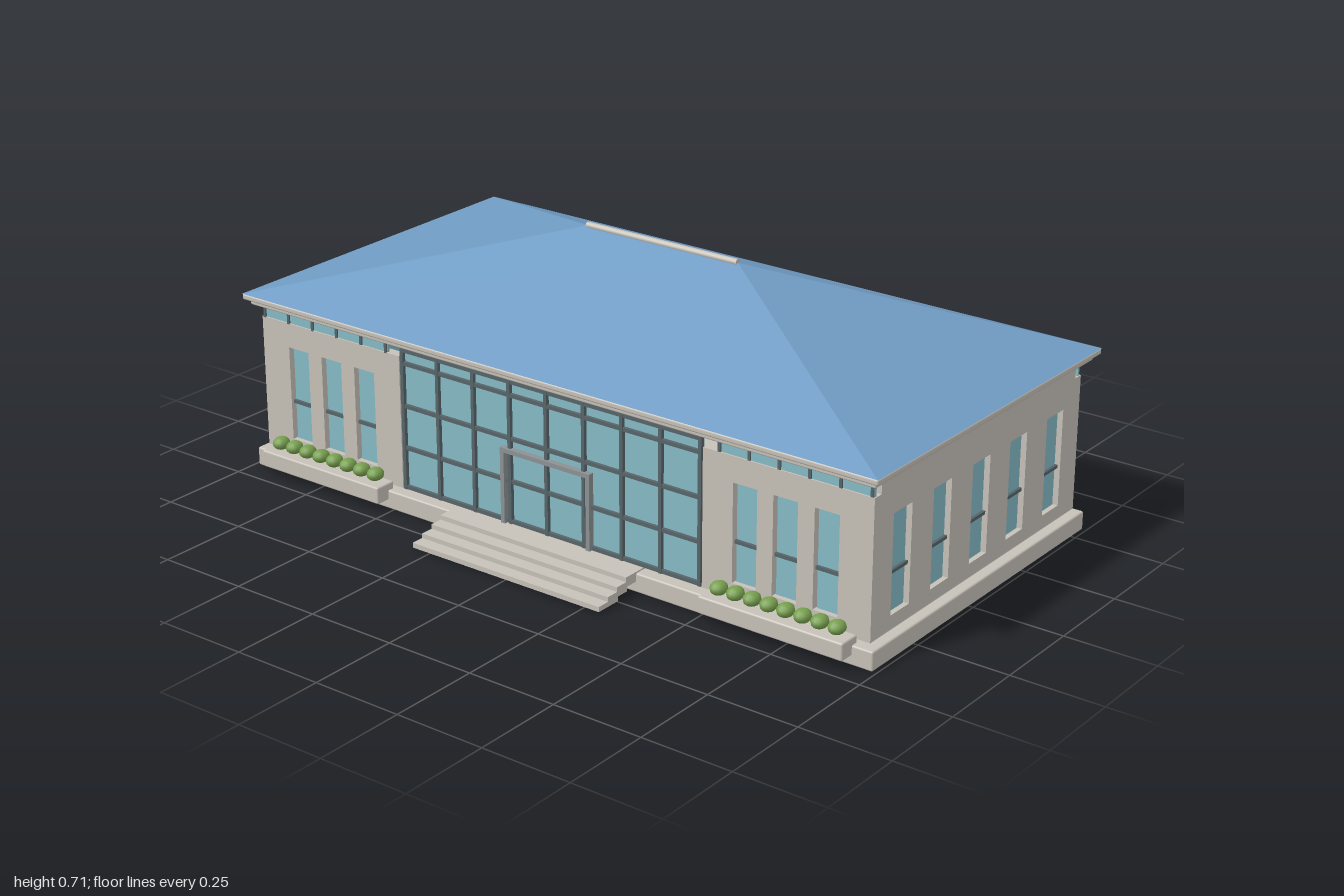
import * as THREE from 'three';
import { RoundedBoxGeometry } from 'three/addons/geometries/RoundedBoxGeometry.js';

const mat = (name, color) => {
  const m = new THREE.MeshStandardMaterial({ color });
  m.name = name;
  return m;
};

export function createModel() {
  const stone = mat('stone', 0xc6c1b8);
  const glass = mat('glass', 0x86bac6);
  const roofBlue = mat('roofBlue', 0x709cc4);
  const frame = mat('darkFrame', 0x566468);
  const doorMetal = mat('doorMetal', 0x8c9294);
  const leaf = mat('leaf', 0x77a04e);

  const model = new THREE.Group();
  model.name = 'pavilion';

  const add = (name, geometry, material, parent = model) => {
    const mesh = new THREE.Mesh(geometry, material);
    mesh.name = name;
    parent.add(mesh);
    return mesh;
  };
  // Box given by its limits on each axis
  const box = (name, material, x0, x1, y0, y1, z0, z1, parent = model, radius = 0) => {
    const size = [x1 - x0, y1 - y0, z1 - z0];
    const geo = radius ? new RoundedBoxGeometry(...size, 2, radius) : new THREE.BoxGeometry(...size);
    const mesh = add(name, geo, material, parent);
    mesh.position.set((x0 + x1) / 2, (y0 + y1) / 2, (z0 + z1) / 2);
    return mesh;
  };

  // Wall slab with window openings, glazing and optional crossbars; outer face is +z
  const T = 0.028, SILL = 0.101, HEAD = 0.364;
  const windowWall = (name, u0, u1, top, centres, width, bars) => {
    const wall = new THREE.Group();
    wall.name = name;
    const shape = new THREE.Shape();
    shape.moveTo(u0, 0.063).lineTo(u1, 0.063).lineTo(u1, top).lineTo(u0, top).closePath();
    for (const c of centres) {
      const a = c - width / 2, b = c + width / 2;
      const hole = new THREE.Path();
      hole.moveTo(a, SILL).lineTo(a, HEAD).lineTo(b, HEAD).lineTo(b, SILL).closePath();
      shape.holes.push(hole);
      box('windowGlass', glass, a + 0.003, b - 0.003, SILL, HEAD, 0.007, 0.014, wall);
      if (bars) box('windowBar', frame, a + 0.002, b - 0.002, 0.204, 0.213, 0.012, 0.022, wall);
    }
    add('wallSlab', new THREE.ExtrudeGeometry(shape, { depth: T, bevelEnabled: false }), stone, wall);
    model.add(wall);
    return wall;
  };

  // Base and floor
  box('base', stone, -0.99, 0.99, 0.003, 0.055, -0.557, 0.432, model, 0.005);
  box('floor', stone, -0.94, 0.94, 0.05, 0.063, -0.51, 0.384);

  // Entrance steps, lowest first
  for (let i = 0; i < 4; i++) {
    box('step', stone, -0.3, 0.3, 0.008 + i * 0.0125, 0.0215 + i * 0.0125, 0.505 - i * 0.036, 0.58 - i * 0.036);
  }

  // Wing walls at front and back, with a clerestory strip above
  for (const s of [-1, 1]) {
    const side = s < 0 ? 'right' : 'left';
    const u = [s * 0.483, s * 0.968].sort((a, b) => a - b);
    const centres = [0.607, 0.723, 0.84].map((c) => c * s);
    windowWall(side + 'FrontWing', u[0], u[1], 0.432, centres, 0.07, true).position.z = 0.382;

    const back = windowWall(side + 'BackWing', u[0], u[1], 0.432, centres, 0.07, false);
    back.rotation.y = Math.PI;
    back.position.z = -0.509;

    const g = [s * 0.525, s * 0.965].sort((a, b) => a - b);
    box('frontClerestory', glass, g[0], g[1], 0.43, 0.47, 0.399, 0.406);
    box('backClerestory', glass, g[0], g[1], 0.43, 0.47, -0.533, -0.526);
    for (let i = 0; i < 6; i++) {
      const x = s * (0.53 + i * 0.086);
      box('clerestoryMullion', frame, x - 0.004, x + 0.004, 0.43, 0.47, 0.402, 0.41);
    }

    // Side wall, slightly taller than the wings
    const m = s > 0 ? -1 : 1;
    const zs = [0.286, 0.112, -0.064, -0.238, -0.416].map((z) => z * m);
    const w = [0.382 * m, -0.509 * m].sort((a, b) => a - b);
    const wall = windowWall(side + 'SideWall', w[0], w[1], 0.468, zs, 0.08, true);
    wall.rotation.y = s * Math.PI / 2;
    wall.position.x = s * 0.94;
  }

  // Central glazing
  box('frontGlazing', glass, -0.476, 0.476, 0.063, 0.455, 0.394, 0.401);
  box('backGlazing', glass, -0.483, 0.483, 0.063, 0.455, -0.524, -0.517);
  for (let i = -4; i <= 4; i++) {
    const x = i * 0.1185;
    box('mullion', frame, x - 0.005, x + 0.005, 0.063, 0.455, 0.4, 0.411);
  }
  for (const y of [0.069, 0.18, 0.297, 0.415, 0.451]) {
    box('transom', frame, -0.479, 0.479, y - 0.005, y + 0.005, 0.4, 0.41);
  }

  // Door surround
  for (const x of [-0.137, 0.137]) {
    box('doorPost', doorMetal, x - 0.006, x + 0.006, 0.063, 0.271, 0.4, 0.418);
  }
  box('doorLintel', doorMetal, -0.143, 0.143, 0.259, 0.271, 0.4, 0.418);

  // Planters with a row of clipped shrubs
  for (const s of [-1, 1]) {
    const planter = new THREE.Group();
    planter.name = s < 0 ? 'rightPlanter' : 'leftPlanter';
    planter.position.x = s * 0.724;
    model.add(planter);
    box('trough', stone, -0.208, 0.208, 0.028, 0.075, 0.41, 0.473, planter, 0.005);
    for (let i = 0; i < 8; i++) {
      const shrub = add('shrub', new THREE.SphereGeometry(1, 12, 8), leaf, planter);
      shrub.scale.set(0.022, 0.018, 0.025);
      shrub.position.set((i - 3.5) * 0.0485, 0.094, 0.438);
    }
  }

  // Eaves
  box('lowerEave', stone, -0.985, 0.985, 0.468, 0.482, -0.565, 0.435, model, 0.004);
  box('upperEave', stone, -1, 1, 0.483, 0.499, -0.58, 0.45, model, 0.005);
  box('eaveCore', stone, -0.975, 0.975, 0.475, 0.49, -0.555, 0.425);

  // Hipped roof
  const A = [-1, 0.499, 0.45], B = [1, 0.499, 0.45], C = [1, 0.499, -0.58], D = [-1, 0.499, -0.58];
  const L = [-0.24, 0.708, -0.065], R = [0.24, 0.708, -0.065];
  const faces = [A, B, R, A, R, L, B, C, R, C, D, L, C, L, R, D, A, L];
  const roof = new THREE.BufferGeometry();
  roof.setAttribute('position', new THREE.Float32BufferAttribute(faces.flat(), 3));
  roof.computeVertexNormals();
  add('roof', roof, roofBlue);

  const ridge = add('ridgeCap', new THREE.CylinderGeometry(0.009, 0.009, 0.48, 10), stone);
  ridge.rotation.z = Math.PI / 2;
  ridge.position.set(0, 0.709, -0.065);

  return model;
}
